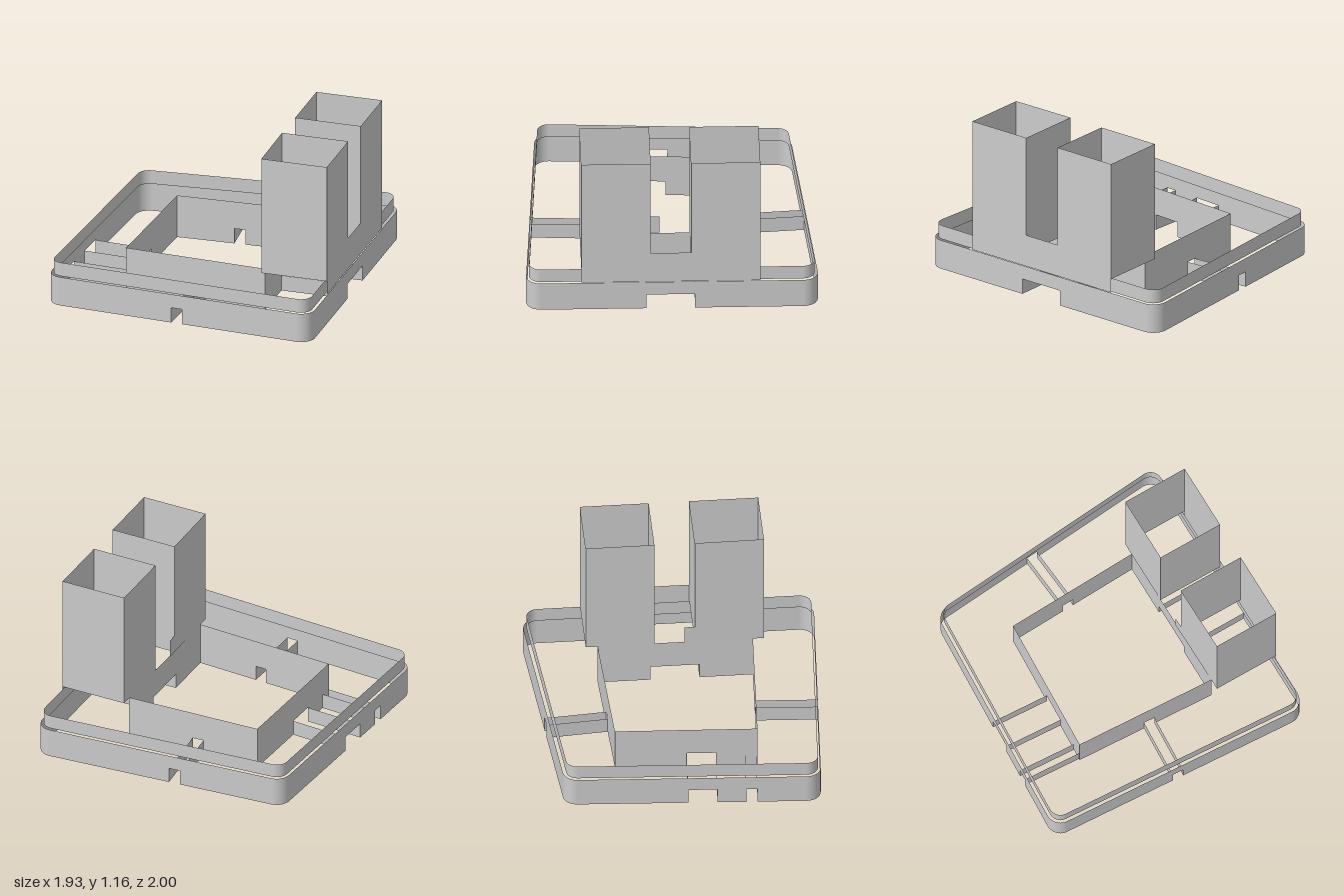
import * as THREE from 'three';

const material = new THREE.MeshStandardMaterial({ color: 0xcccccc, side: THREE.DoubleSide });
const NOTCH = 0.11; // height of the cable openings

// Thin upright sheet from (x0,z0) to (x1,z1), with openings [from,to] cut into its foot.
// Openings are given in the coordinate (x or z) the sheet mostly runs along.
function sheet(parent, name, [x0, z0], [x1, z1], y0, y1, notches = []) {
  const dx = x1 - x0, dz = z1 - z0, length = Math.hypot(dx, dz);
  const along = (c) => (Math.abs(dx) > Math.abs(dz) ? (c - x0) / dx : (c - z0) / dz) * length;
  const cuts = notches.map((n) => n.map(along).sort((a, b) => a - b)).sort((a, b) => a[0] - b[0]);
  const s = new THREE.Shape();
  s.moveTo(0, y0);
  for (const [a, b] of cuts) {
    s.lineTo(a, y0);
    s.lineTo(a, NOTCH);
    s.lineTo(b, NOTCH);
    s.lineTo(b, y0);
  }
  s.lineTo(length, y0);
  s.lineTo(length, y1);
  s.lineTo(0, y1);
  s.closePath();
  const mesh = new THREE.Mesh(new THREE.ShapeGeometry(s), material);
  mesh.name = name;
  mesh.position.set(x0, 0, z0);
  mesh.rotation.y = Math.atan2(-dz, dx);
  parent.add(mesh);
}

// Closed four-sided wall; corners run front right, front left, back left, back right.
function wallLoop(parent, name, corners, y0, y1, r = 0, notches = {}) {
  const g = new THREE.Group();
  g.name = name;
  parent.add(g);
  const pts = corners.map(([x, z]) => new THREE.Vector2(x, z));
  const bends = pts.map((p, i) => {
    const a = pts[(i + 3) % 4].clone().sub(p).normalize();
    const b = pts[(i + 1) % 4].clone().sub(p).normalize();
    const half = Math.acos(a.dot(b)) / 2;
    const t = r / Math.tan(half);
    const centre = a.clone().add(b).normalize().multiplyScalar(r / Math.sin(half)).add(p);
    return { from: a.multiplyScalar(t).add(p), to: b.multiplyScalar(t).add(p), centre };
  });
  ['Front', 'Left', 'Back', 'Right'].forEach((side, i) => {
    const start = bends[i].to, end = bends[(i + 1) % 4].from;
    sheet(g, name + side, start.toArray(), end.toArray(), y0, y1, notches[side]);
  });
  if (r === 0) return;
  // Rounded corners
  for (const { from, to, centre } of bends) {
    const t0 = Math.atan2(from.x - centre.x, from.y - centre.y);
    const t1 = Math.atan2(to.x - centre.x, to.y - centre.y);
    const sweep = (t1 - t0 + 2 * Math.PI) % (2 * Math.PI);
    const corner = new THREE.Mesh(
      new THREE.CylinderGeometry(r, r, y1 - y0, 10, 1, true, t0, sweep), material);
    corner.name = name + 'Corner';
    corner.position.set(centre.x, (y0 + y1) / 2, centre.y);
    g.add(corner);
  }
}

export function createModel() {
  const root = new THREE.Group();
  root.name = 'twoTowerTray';

  // Base wall, inset upper rim and inner frame: the plan is an uneven four-sided shape
  const outer = [[-0.965, 1], [0.972, 1], [0.853, -1.01], [-0.965, -0.755]];
  const rim = [[-0.945, 0.98], [0.95, 0.98], [0.834, -0.985], [-0.945, -0.735]];
  const inner = [[-0.548, 0.575], [0.47, 0.57], [0.408, -0.495], [-0.555, -0.402]];
  wallLoop(root, 'outerWall', outer, 0, 0.21, 0.1, {
    Front: [[-0.05, 0.03]],
    Left: [[-0.16, 0.175]],
    Back: [[-0.21, -0.13]],
    Right: [[0.09, 0.29], [0.49, 0.565]],
  });
  wallLoop(root, 'rim', rim, 0.21, 0.31, 0.08);
  wallLoop(root, 'innerFrame', inner, 0, 0.31, 0, {
    Front: [[-0.05, 0.03]],
    Left: [[-0.133, 0.204]],
    Back: [[-0.15, -0.07]],
    Right: [[0.09, 0.29]],
  });

  // Channel sides running from the outer wall to the inner frame
  const channels = new THREE.Group();
  channels.name = 'channels';
  root.add(channels);
  const channelSides = {
    front: [[[-0.05, 1], [-0.05, 0.573]], [[0.03, 1], [0.03, 0.572]]],
    left: [[[0.923, 0.175], [0.449, 0.204]], [[0.903, -0.16], [0.429, -0.133]]],
    back: [[[-0.21, -0.861], [-0.15, -0.441]], [[-0.13, -0.872], [-0.07, -0.449]]],
    right: [0.09, 0.29, 0.49, 0.565].map((z) => [[-0.965, z], [-0.55, z]]),
  };
  for (const [side, list] of Object.entries(channelSides))
    for (const [a, b] of list) sheet(channels, side + 'ChannelSide', a, b, 0, NOTCH);

  // Two open square towers; their outer faces drop over the rim to the base wall
  const towers = {
    frontTower: [[0.474, 0.646], [0.945, 0.619], [0.916, 0.145], [0.441, 0.172]],
    backTower: [[0.429, -0.106], [0.9, -0.133], [0.872, -0.605], [0.4, -0.577]],
  };
  for (const [name, c] of Object.entries(towers)) {
    wallLoop(root, name, c, 0.31, 1.16);
    sheet(root, name + 'Skirt', c[1], c[2], 0.21, 0.31);
  }

  // Low panel joining the towers on the outside, and a short stub on the inside
  sheet(root, 'towerLink', towers.frontTower[2], towers.backTower[1], 0.21, 0.44);
  sheet(root, 'towerStub', towers.frontTower[3], [0.435, 0.1], 0.31, 0.44);

  return root;
}
